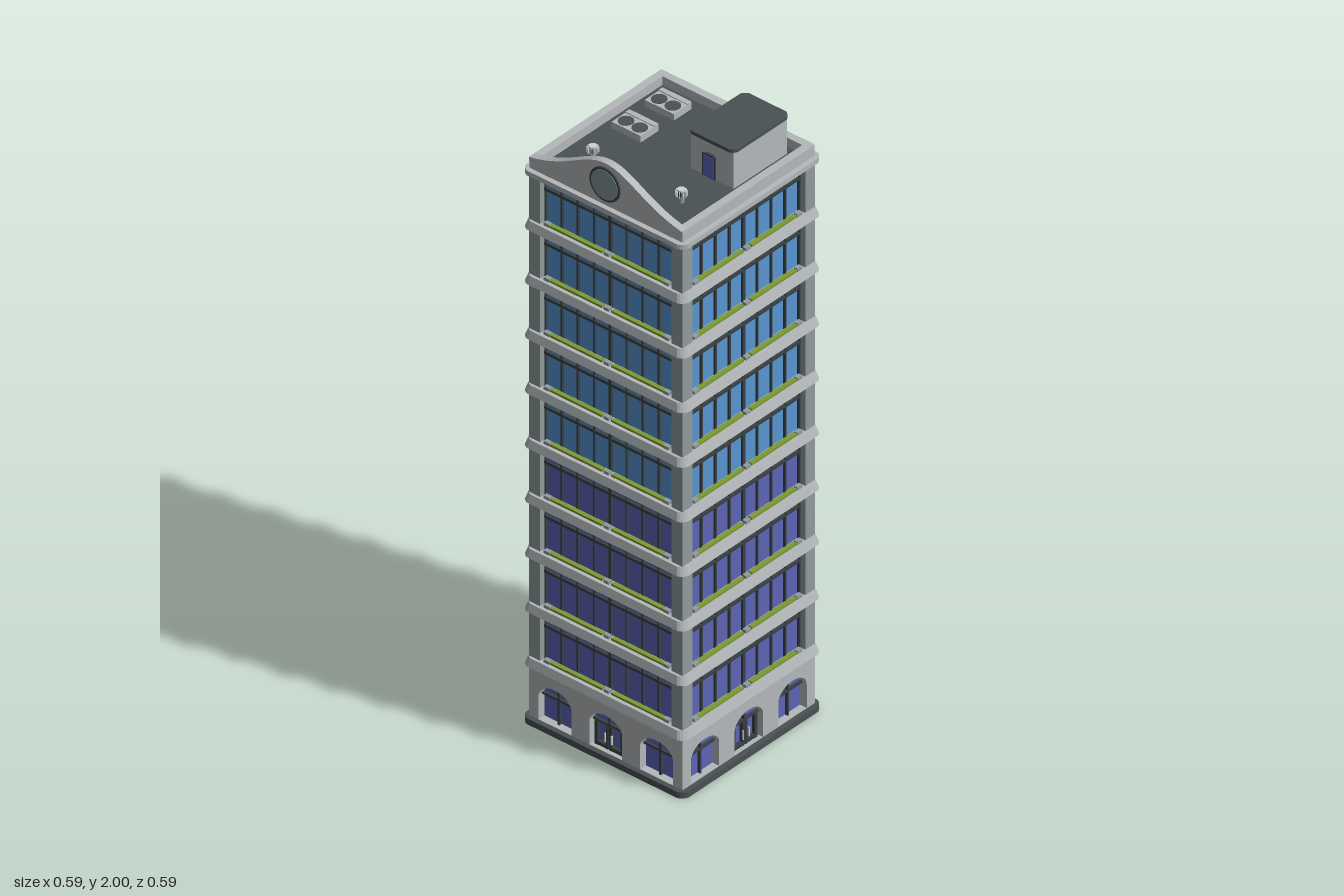
import * as THREE from 'three';

const mat = (name, color) => Object.assign(new THREE.MeshStandardMaterial({ color }), { name });
const M = {
  stone: mat('light stone', 0xb4b9bb),
  pier: mat('grey stone', 0x929c9e),
  dark: mat('dark slate', 0x495153),
  frame: mat('window frame', 0x3a4245),
  blue: mat('blue glass', 0x5896d2),
  violet: mat('violet glass', 0x5c64b6),
  green: mat('hedge green', 0x7c9a35),
  dial: mat('round window', 0x82939a),
  metal: mat('pale metal', 0xd0d4d5),
};

function add(parent, name, geometry, material, x = 0, y = 0, z = 0) {
  const mesh = new THREE.Mesh(geometry, material);
  mesh.name = name;
  mesh.position.set(x, y, z);
  parent.add(mesh);
  return mesh;
}
const box = (p, name, m, w, h, d, x, y, z) => add(p, name, new THREE.BoxGeometry(w, h, d), m, x, y, z);
const cyl = (p, name, m, r, h, x, y, z, n = 24) => add(p, name, new THREE.CylinderGeometry(r, r, h, n), m, x, y, z);

// Rectangle with cut corners
function cutRect(w, d, c) {
  const s = new THREE.Shape();
  s.moveTo(-w + c, -d);
  s.lineTo(w - c, -d);
  s.quadraticCurveTo(w - c * 0.25, -d + c * 0.25, w, -d + c);
  s.lineTo(w, d - c);
  s.quadraticCurveTo(w - c * 0.25, d - c * 0.25, w - c, d);
  s.lineTo(-w + c, d);
  s.quadraticCurveTo(-w + c * 0.25, d - c * 0.25, -w, d - c);
  s.lineTo(-w, -d + c);
  s.quadraticCurveTo(-w + c * 0.25, -d + c * 0.25, -w + c, -d);
  return s;
}

// Horizontal slab standing on y = 0, its top scaled by taper
function slab(shape, h, taper = 1) {
  const g = new THREE.ExtrudeGeometry(shape, { depth: h, bevelEnabled: false, curveSegments: 4 });
  g.rotateX(-Math.PI / 2);
  const p = g.attributes.position;
  for (let i = 0; i < p.count; i++) {
    if (p.getY(i) > h / 2) p.setXYZ(i, p.getX(i) * taper, p.getY(i), p.getZ(i) * taper);
  }
  g.computeVertexNormals();
  return g;
}

// Arched outline with a flattened round top
function arch(path, x, w, y0, spring, rise) {
  path.moveTo(x - w, y0);
  path.lineTo(x + w, y0);
  path.lineTo(x + w, spring);
  path.absellipse(x, spring, w, rise, 0, Math.PI, false);
  path.lineTo(x - w, y0);
  return path;
}

const FLOORS = 9, STEP = 0.1835, FIRST = 0.207;
const floorY = (i) => FIRST + i * STEP;

function buildSide() {
  const side = new THREE.Group();
  // Ground floor wall with three arches
  const wall = new THREE.Shape();
  wall.moveTo(-0.28, 0.02);
  wall.lineTo(0.28, 0.02);
  wall.lineTo(0.28, 0.2);
  wall.lineTo(-0.28, 0.2);
  const centres = [-0.185, 0, 0.185];
  for (const x of centres) wall.holes.push(arch(new THREE.Path(), x, 0.06, 0.021, 0.1, 0.044));
  add(side, 'arcadeWall', new THREE.ExtrudeGeometry(wall, { depth: 0.027, bevelEnabled: false, curveSegments: 16 }), M.stone, 0, 0, 0.253);
  for (const x of centres) {
    box(side, 'archTransom', M.frame, 0.12, 0.007, 0.01, x, 0.103, 0.26);
    box(side, 'archMullion', M.frame, 0.006, 0.124, 0.01, x, 0.082, 0.26);
  }
  // Entrance double door
  for (const s of [-1, 1]) {
    box(side, 'doorPost', M.frame, 0.01, 0.08, 0.012, s * 0.047, 0.06, 0.261);
    box(side, 'doorStile', M.frame, 0.006, 0.08, 0.012, s * 0.007, 0.06, 0.261);
    box(side, 'doorRail', M.frame, 0.045, 0.012, 0.012, s * 0.025, 0.028, 0.261);
    box(side, 'doorHandle', M.metal, 0.003, 0.03, 0.006, s * 0.012, 0.06, 0.269);
  }
  // Vertical window bars
  for (let k = -4; k <= 4; k++) {
    box(side, 'mullion', M.frame, k === 0 ? 0.01 : 0.005, 1.65, 0.01, k * 0.059, 1.027, 0.258);
  }
  // Per floor: transom, hedge boxes and small balcony posts
  for (let i = 0; i < FLOORS; i++) {
    const y = floorY(i);
    box(side, 'transom', M.frame, 0.48, 0.009, 0.011, 0, y + 0.123, 0.258);
    for (const s of [-1, 1]) {
      box(side, 'hedge', M.green, 0.19, 0.01, 0.014, s * 0.112, y + 0.015, 0.27);
    }
    for (const x of [-0.218, 0, 0.218]) box(side, 'balconyPost', M.pier, 0.02, 0.014, 0.014, x, y + 0.016, 0.272);
  }
  return side;
}

function buildRoof() {
  const roof = new THREE.Group();
  roof.name = 'roof';
  // Cornice, parapet and roof deck
  add(roof, 'cornice', slab(cutRect(0.296, 0.296, 0.022), 0.016), M.stone, 0, 1.844, 0);
  const ring = cutRect(0.28, 0.28, 0.004);
  ring.holes.push(cutRect(0.255, 0.255, 0.001));
  add(roof, 'parapet', slab(ring, 0.037), M.stone, 0, 1.859, 0);
  box(roof, 'roofDeck', M.dark, 0.512, 0.01, 0.512, 0, 1.862, 0);
  // Curved front gable with a round window
  const gable = new THREE.Shape();
  gable.moveTo(-0.28, 1.88);
  gable.lineTo(0.28, 1.88);
  gable.lineTo(0.28, 1.895);
  gable.bezierCurveTo(0.14, 1.92, 0.08, 2, 0, 2);
  gable.bezierCurveTo(-0.08, 2, -0.14, 1.92, -0.28, 1.895);
  add(roof, 'frontGable', new THREE.ExtrudeGeometry(gable, { depth: 0.024, bevelEnabled: false, curveSegments: 14 }), M.stone, 0, 0, 0.2565);
  cyl(roof, 'roundWindowRim', M.frame, 0.055, 0.007, 0, 1.931, 0.282, 32).rotation.x = Math.PI / 2;
  cyl(roof, 'roundWindow', M.dial, 0.048, 0.007, 0, 1.931, 0.2835, 32).rotation.x = Math.PI / 2;
  // Stair house
  box(roof, 'stairHouse', M.stone, 0.156, 0.125, 0.226, 0.145, 1.927, -0.115);
  add(roof, 'stairHouseRoof', slab(cutRect(0.085, 0.121, 0.018), 0.011), M.dark, 0.145, 1.989, -0.115);
  box(roof, 'stairDoorFrame', M.frame, 0.046, 0.076, 0.006, 0.135, 1.905, -0.001);
  box(roof, 'stairDoor', M.violet, 0.036, 0.07, 0.006, 0.135, 1.904, 0.001);
  box(roof, 'doorLamp', M.frame, 0.03, 0.006, 0.01, 0.14, 1.946, 0.002);
  // Cooling units with twin fans
  for (const z of [-0.182, -0.042]) {
    box(roof, 'coolingUnit', M.stone, 0.106, 0.022, 0.075, -0.171, 1.878, z);
    box(roof, 'coolingUnitBack', M.stone, 0.106, 0.004, 0.017, -0.171, 1.89, z - 0.029);
    for (const x of [-0.196, -0.146]) cyl(roof, 'fan', M.dark, 0.023, 0.004, x, 1.889, z + 0.009);
  }
  // Finned turbine vents
  for (const x of [-0.168, 0.155]) {
    cyl(roof, 'ventPipe', M.pier, 0.009, 0.03, x, 1.88, 0.14, 12);
    cyl(roof, 'ventCap', M.metal, 0.012, 0.004, x, 1.909, 0.14, 12);
    cyl(roof, 'ventCore', M.frame, 0.011, 0.018, x, 1.898, 0.14, 12);
    for (let k = 0; k < 10; k++) {
      const a = (k / 10) * Math.PI * 2;
      const fin = box(roof, 'ventFin', M.metal, 0.008, 0.018, 0.003, x + Math.cos(a) * 0.014, 1.898, 0.14 + Math.sin(a) * 0.014);
      fin.rotation.y = -a + 0.4;
    }
  }
  return roof;
}

export function createModel() {
  const model = new THREE.Group();
  model.name = 'officeTower';
  add(model, 'baseSlab', slab(cutRect(0.296, 0.296, 0.022), 0.02), M.dark);

  // Glass cores
  box(model, 'groundGlass', M.violet, 0.51, 0.18, 0.51, 0, 0.11, 0);
  for (let i = 0; i < FLOORS; i++) {
    box(model, 'floorGlass', i < 4 ? M.violet : M.blue, 0.51, STEP, 0.51, 0, floorY(i) + STEP / 2 - 0.004, 0);
    add(model, 'floorLedge', slab(cutRect(0.296, 0.296, 0.022), 0.026, 0.975), M.stone, 0, floorY(i) - 0.013, 0);
  }
  // Corner piers
  for (const x of [-1, 1]) for (const z of [-1, 1]) {
    box(model, 'cornerPier', M.pier, 0.041, 1.65, 0.041, x * 0.2595, 1.025, z * 0.2595);
  }
  // Four matching facades
  for (let i = 0; i < 4; i++) {
    const side = buildSide();
    side.name = ['frontFacade', 'leftFacade', 'backFacade', 'rightFacade'][i];
    side.rotation.y = (i * Math.PI) / 2;
    model.add(side);
  }
  model.add(buildRoof());
  return model;
}
